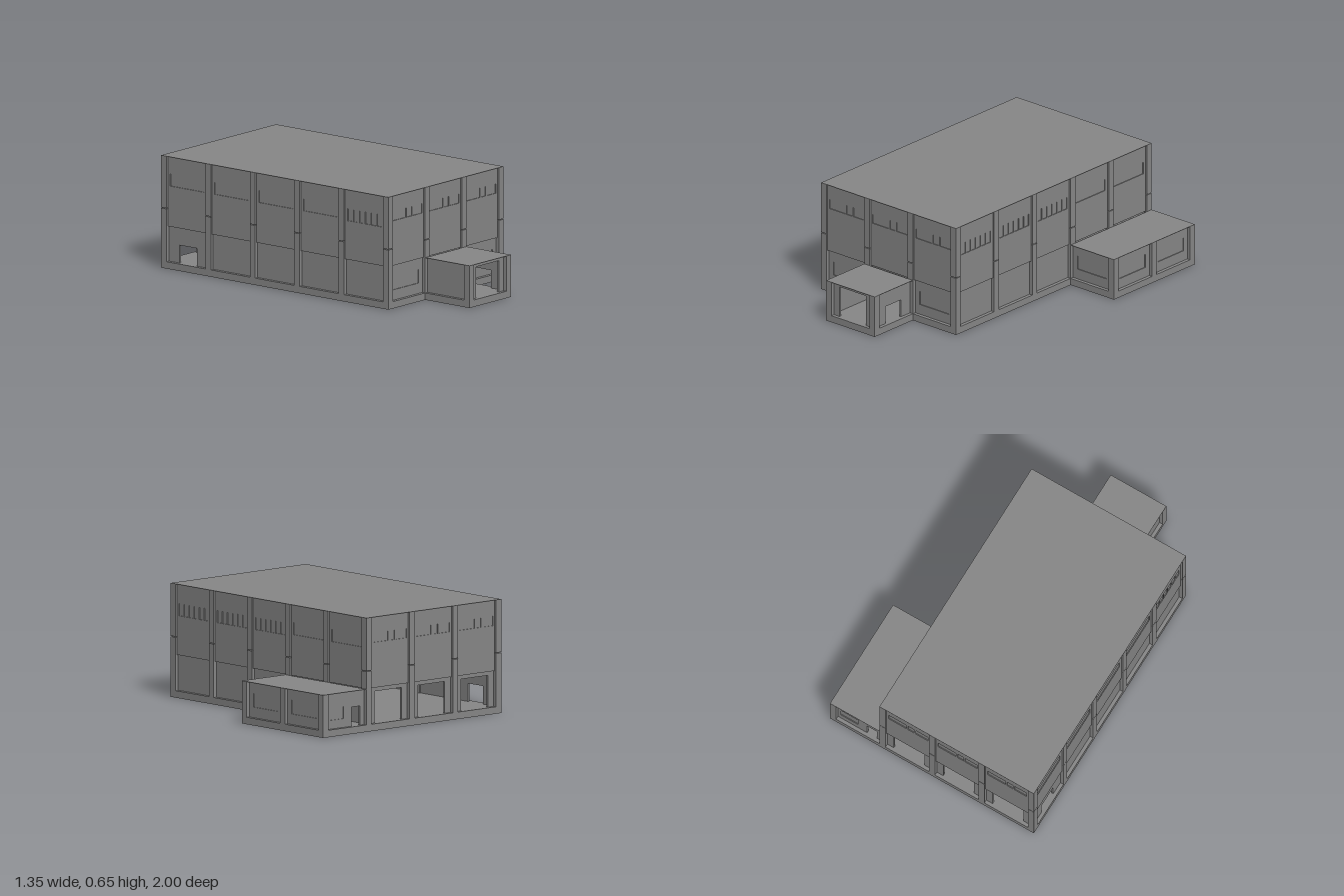
import * as THREE from 'three';

const P = 0.3267;       // bay spacing
const H = 0.02;         // half column width
const PLINTH = 0.04, LOW = 0.245, TOP = 0.653, SLAB = 0.002;
const mat = new THREE.MeshStandardMaterial({ color: 0x878787, flatShading: true });
const thin = new THREE.MeshStandardMaterial({ color: 0x878787, flatShading: true, side: THREE.DoubleSide });

function add(parent, name, geo, x = 0, y = 0, z = 0, material = mat) {
  const m = new THREE.Mesh(geo, material);
  m.name = name;
  m.position.set(x, y, z);
  parent.add(m);
  return m;
}

function box(parent, name, x0, x1, y0, y1, z0, z1) {
  return add(parent, name, new THREE.BoxGeometry(x1 - x0, y1 - y0, z1 - z0),
    (x0 + x1) / 2, (y0 + y1) / 2, (z0 + z1) / 2);
}

// Openings are [x0, x1, y0, y1, open] in the wall's own plane
const door = [-0.101, 0.101, PLINTH, 0.222, true];
const smallDoor = [-0.065, 0.065, PLINTH, 0.144, true];
const lowWindow = [-0.11, 0.11, 0.1, 0.18, false];
const band = [[-0.13, -0.01], [0, 0.04], [0.05, 0.13]].map(([a, b]) => [a, b, 0.505, 0.56, false]);
const wide = [[-0.125, 0.125, 0.48, 0.55, false]];
const strip = Array.from({ length: 6 }, (_, i) =>
  [-0.125 + i * 0.043, -0.09 + i * 0.043, 0.47, 0.54, false]);

// Recessed wall panel with holes; closed windows get a pane set slightly further in
function panel(parent, name, y0, y1, recess, openings) {
  const w = P / 2 - H, depth = 0.012;
  const s = new THREE.Shape();
  s.moveTo(-w, y0);
  for (const [x0, x1] of openings.filter((o) => o[2] <= y0)) {
    const top = openings.find((o) => o[0] === x0)[3];
    s.lineTo(x0, y0); s.lineTo(x0, top); s.lineTo(x1, top); s.lineTo(x1, y0);
  }
  s.lineTo(w, y0); s.lineTo(w, y1); s.lineTo(-w, y1); s.closePath();
  for (const [x0, x1, b, t, open] of openings) {
    if (b > y0) {
      const h = new THREE.Path();
      h.moveTo(x0, b); h.lineTo(x0, t); h.lineTo(x1, t); h.lineTo(x1, b); h.closePath();
      s.holes.push(h);
    }
    if (!open) box(parent, 'windowPane', x0, x1, b, t, -recess - depth, -recess - 0.005);
  }
  add(parent, name, new THREE.ExtrudeGeometry(s, { depth, bevelEnabled: false }), 0, 0, -recess - depth);
}

// One bay of wall; its outer face plane is local z = 0
function bay(parent, x, z, turn, lower = [], upper = null) {
  const g = new THREE.Group();
  g.name = 'wallBay';
  g.position.set(x, 0, z);
  g.rotation.y = turn;
  panel(g, 'lowerPanel', PLINTH, upper ? LOW : LOW - SLAB, 0.021, lower);
  if (upper) panel(g, 'upperPanel', LOW, TOP - SLAB, 0.011, upper);
  parent.add(g);
}

// Tall columns are two lengths with a fine joint between them
function column(parent, i, k, tall) {
  const x = i * P, z = k * P;
  const lengths = tall ? [[PLINTH, 0.346], [0.35, TOP - SLAB]] : [[PLINTH, LOW - SLAB]];
  for (const [y0, y1] of lengths) box(parent, 'column', x - H, x + H, y0, y1, z - H, z + H);
}

export function createModel() {
  const model = new THREE.Group();
  model.name = 'building';
  const main = new THREE.Group(), annex = new THREE.Group(), porch = new THREE.Group();
  main.name = 'mainHall'; annex.name = 'sideAnnex'; porch.name = 'entrancePorch';
  model.add(main, annex, porch);

  const left = 2 * P + H, back = -3 * P - H, front = 2 * P + H, hall = P + H;
  const notch = -P + H, tip = 3 * P + H;

  // Raised floor over the whole footprint, with a thin skirt down to the ground
  const outline = [[-left, back], [left, back], [left, notch], [hall, notch], [hall, front],
    [H, front], [H, tip], [-P - H, tip], [-P - H, front], [-left, front]];
  const plan = new THREE.Shape(outline.map(([x, z]) => new THREE.Vector2(x, -z)));
  add(model, 'floor', new THREE.ShapeGeometry(plan), 0, PLINTH, 0, thin).rotation.x = -Math.PI / 2;
  outline.forEach(([x0, z0], n) => {
    const [x1, z1] = outline[(n + 1) % outline.length];
    const dx = x0 - x1, dz = z0 - z1;
    add(model, 'skirt', new THREE.PlaneGeometry(Math.hypot(dx, dz), PLINTH),
      (x0 + x1) / 2, PLINTH / 2, (z0 + z1) / 2, thin).rotation.y = Math.atan2(-dz, dx);
  });

  // Thin flat roofs, level with the outer faces of the columns
  box(main, 'mainRoof', -left, hall, TOP - SLAB, TOP, back, front);
  box(annex, 'annexRoof', hall, left, LOW - SLAB, LOW, back, notch);
  box(porch, 'porchRoof', -P - H, H, LOW - SLAB, LOW, front, tip);

  // Main hall columns around the edge
  for (let i = -2; i <= 1; i++)
    for (let k = -3; k <= 2; k++)
      if (i === -2 || i === 1 || k === -3 || k === 2) column(main, i, k, true);

  // Main hall front and back walls
  for (let i = -2; i < 1; i++) {
    const x = (i + 0.5) * P;
    bay(main, x, front, 0, [i === -1 ? door : lowWindow], band);
    bay(main, x, back, Math.PI, [door], band);
  }

  // Main hall long walls
  for (let k = -3; k < 2; k++) {
    const z = (k + 0.5) * P;
    bay(main, hall, z, Math.PI / 2, [], k > -2 ? strip : wide);
    bay(main, -left, z, -Math.PI / 2, k === -3 ? [smallDoor] : [], k === 1 ? strip : wide);
  }

  // Low side annex
  for (const k of [-3, -2, -1]) column(annex, 2, k, false);
  for (const k of [-2.5, -1.5]) bay(annex, left, k * P, Math.PI / 2, [lowWindow]);
  bay(annex, 1.5 * P, notch, 0, [lowWindow]);
  bay(annex, 1.5 * P, back, Math.PI,
    [[0.05, 0.115, PLINTH, 0.15, true], [-0.125, -0.01, 0.09, 0.16, false]]);

  // Entrance porch
  for (const i of [-1, 0]) column(porch, i, 3, false);
  bay(porch, -0.5 * P, tip, 0, [door]);
  bay(porch, H, 2.5 * P, Math.PI / 2, [smallDoor]);
  bay(porch, -P - H, 2.5 * P, -Math.PI / 2);

  return model;
}
